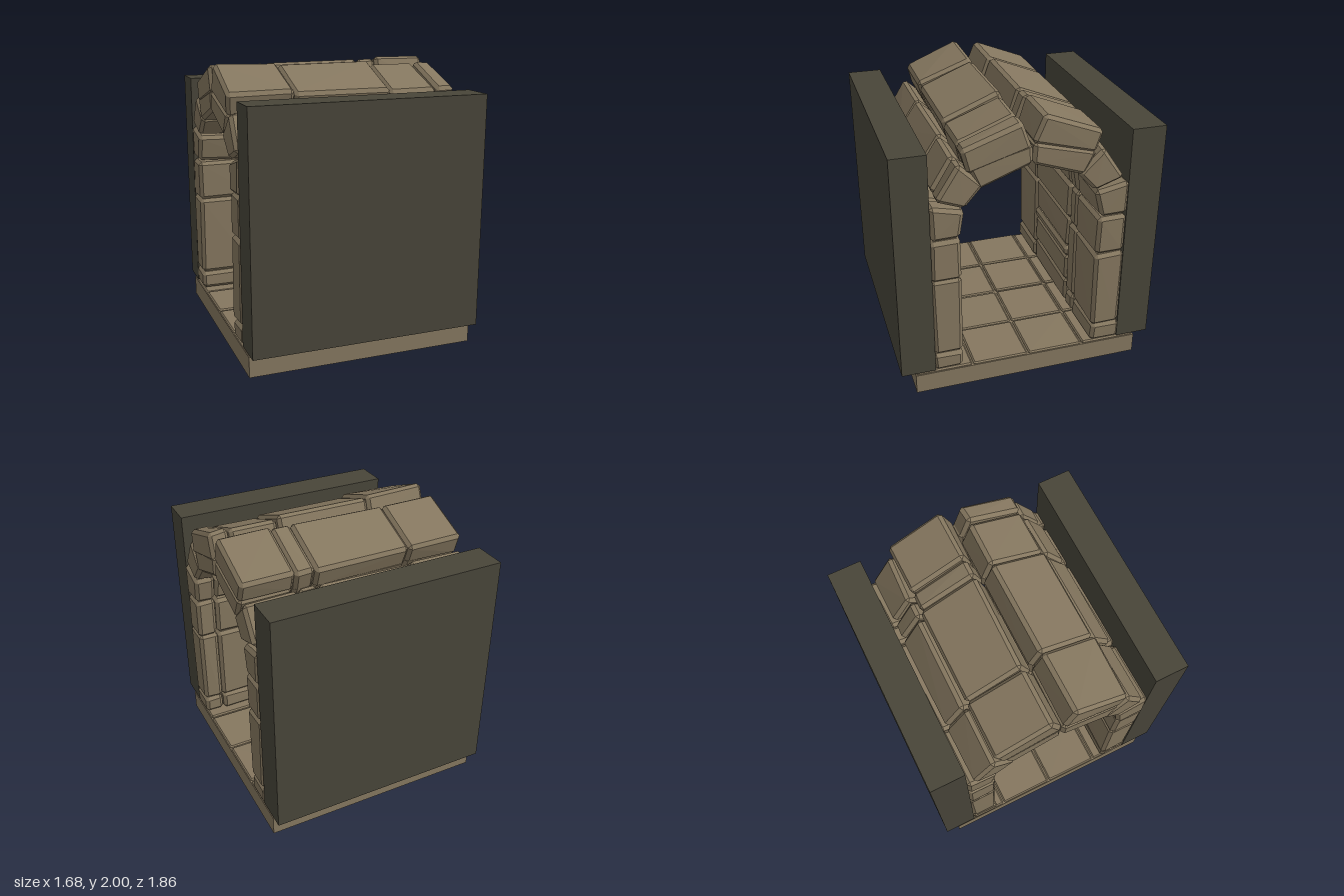
import * as THREE from 'three';
import { ConvexGeometry } from 'three/addons/geometries/ConvexGeometry.js';

const stoneMat = new THREE.MeshStandardMaterial({ color: 0x85775f });
stoneMat.name = 'sandstone';
const slabMat = new THREE.MeshStandardMaterial({ color: 0x484539 });
slabMat.name = 'darkBacking';

// small seeded generator, returns -1..1
let seed = 7;
function rnd() {
  seed = (seed * 16807) % 2147483647;
  return (seed / 2147483647) * 2 - 1;
}

// chamfered block: a four-corner [z, y] section swept from x0 to x1
function block(name, quad, x0, x1, bevel, wobble) {
  const corners = [x0, x1].map((x) => quad.map(([z, y]) =>
    new THREE.Vector3(x + rnd() * wobble * 0.5, y + rnd() * wobble, z + rnd() * wobble)));
  const points = [];
  for (let e = 0; e < 2; e++) {
    for (let i = 0; i < 4; i++) {
      const p = corners[e][i];
      // inward steps along the three edges meeting at this corner
      const steps = [corners[1 - e][i], corners[e][(i + 1) % 4], corners[e][(i + 3) % 4]].map((q) => {
        const d = q.clone().sub(p);
        return d.setLength(Math.min(bevel, d.length() * 0.3));
      });
      for (const [a, b] of [[0, 1], [0, 2], [1, 2]]) {
        points.push(p.clone().add(steps[a]).add(steps[b]));
      }
    }
  }
  const mesh = new THREE.Mesh(new ConvexGeometry(points), stoneMat);
  mesh.name = name;
  return mesh;
}

function box(name, w, h, d, y, z, mat) {
  const mesh = new THREE.Mesh(new THREE.BoxGeometry(w, h, d), mat);
  mesh.name = name;
  mesh.position.set(0, y, z);
  return mesh;
}

// one half of the vault: side is +1 for the front half, -1 for the back
function vaultHalf(side, splits, lifts) {
  const half = new THREE.Group();
  half.name = side > 0 ? 'frontVaultHalf' : 'backVaultHalf';
  for (let c = 0; c < splits.length - 1; c++) {
    const x0 = splits[c] + 0.003, x1 = splits[c + 1] - 0.003;
    const add = (name, quad, wobble, lift = 0) =>
      half.add(block(name, quad.map(([z, y]) => [z * side, y + lift]), x0, x1, 0.024, wobble));

    // upright wall courses; the long middle column has more, thinner courses
    const middle = x1 - x0 > 0.6;
    const rows = middle ? [0.165, 0.36, 0.58, 0.66, 0.92, 1.2] : [0.165, 0.3, 0.9, 1.2];
    for (let r = 0; r < rows.length - 1; r++) {
      const inner = middle && r === 2 ? 0.465 : 0.48;
      add('wallStone', [[inner, rows[r]], [0.69, rows[r]], [0.695, rows[r + 1]], [inner, rows[r + 1]]], 0.007);
    }
    // curving courses
    add('springerStone', [[0.49, 1.2], [0.69, 1.21], [0.69, 1.46], [0.455, 1.4]], 0.01);
    add('shoulderStone', [[0.45, 1.41], [0.65, 1.49], [0.5, 1.73], [0.32, 1.56]], 0.012);
    // crown, with its soffit course beneath
    add('soffitStone', [[0.36, 1.54], [0.44, 1.71], [0.005, 1.82], [0, 1.67]], 0.006);
    add('crownStone', [[0.43, 1.69], [0.48, 1.85], [0.075, 2.008], [0, 1.81]], 0.008, lifts[c]);
  }
  return half;
}

export function createModel() {
  seed = 7;
  const model = new THREE.Group();
  model.name = 'vaultedPassage';

  // floor base and paving
  model.add(box('floorBase', 1.655, 0.147, 1.655, 0.0735, 0, stoneMat));
  const paving = new THREE.Group();
  paving.name = 'paving';
  const pitch = 1.655 / 4;
  for (let i = 0; i < 4; i++) {
    for (let j = 0; j < 4; j++) {
      const x0 = -0.8275 + i * pitch + 0.006, x1 = x0 + pitch - 0.012;
      const z0 = -0.8275 + j * pitch + 0.006, z1 = z0 + pitch - 0.012;
      const top = 0.159 + rnd() * 0.004;
      paving.add(block('pavingTile', [[z0, 0.13], [z1, 0.13], [z1, top], [z0, top]], x0, x1, 0.01, 0.001));
    }
  }
  model.add(paving);

  // dark backing slabs either side
  for (const side of [1, -1]) {
    model.add(box(side > 0 ? 'frontSlab' : 'backSlab', 1.66, 1.655, 0.242, 0.9975, side * 0.807, slabMat));
  }

  // two halves of the stone vault
  model.add(vaultHalf(1, [-0.84, -0.37, 0.335, 0.69, 0.84], [0, -0.015, -0.04, -0.035]));
  model.add(vaultHalf(-1, [-0.835, -0.405, 0.305, 0.45, 0.84], [-0.02, -0.02, -0.02, -0.004]));
  return model;
}
